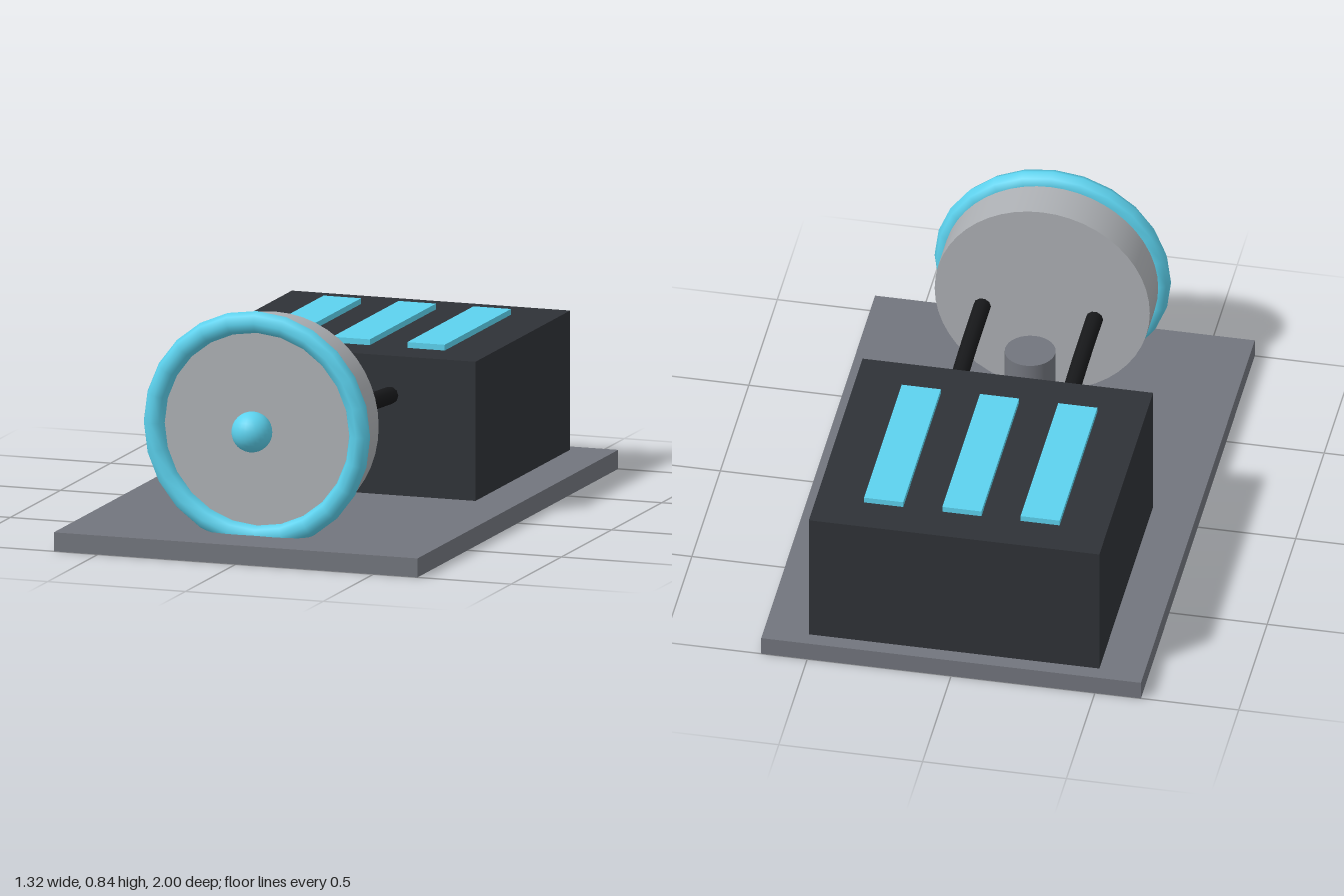
import * as THREE from 'three';

const mat = (color) => new THREE.MeshStandardMaterial({ color });
const slate = mat(0x72757d), charcoal = mat(0x2f3237), cyan = mat(0x5cd2ee);
const silver = mat(0xadb0b4), black = mat(0x17181a);
black.side = THREE.DoubleSide;

export function createModel() {
  const model = new THREE.Group();
  const add = (name, geometry, material, x, y, z) => {
    const mesh = new THREE.Mesh(geometry, material);
    mesh.name = name;
    mesh.position.set(x, y, z);
    model.add(mesh);
    return mesh;
  };
  const baseTop = 0.066, axisY = 0.43;

  // Base plate and housing
  add('basePlate', new THREE.BoxGeometry(1.32, baseTop, 2), slate, 0, baseTop / 2, 0);
  add('housing', new THREE.BoxGeometry(1.01, 0.484, 0.944), charcoal, 0, baseTop + 0.242, -0.475);

  // Raised strips on the housing
  for (const x of [-0.272, 0, 0.272]) {
    add('topStrip', new THREE.BoxGeometry(0.136, 0.04, 0.66), cyan, x, 0.55, -0.48);
  }

  // Wheel: disc, rim ring and hub knob, facing the front
  const disc = add('wheelDisc', new THREE.CylinderGeometry(0.374, 0.374, 0.148, 48), silver, 0, axisY, 0.675);
  disc.rotation.x = Math.PI / 2;
  add('wheelRim', new THREE.TorusGeometry(0.373, 0.038, 8, 24), cyan, 0, axisY, 0.787);
  add('hubKnob', new THREE.SphereGeometry(0.07, 24, 16), cyan, 0, axisY, 0.838);

  // Support post
  add('supportPost', new THREE.CylinderGeometry(0.087, 0.087, 0.304, 32), slate, 0, baseTop + 0.152, 0.39);

  // Two slightly bent rods running from the housing toward the wheel
  for (const side of [-1, 1]) {
    const path = new THREE.CatmullRomCurve3([
      new THREE.Vector3(0, 0.412, -0.01),
      new THREE.Vector3(0, 0.43, 0.3),
      new THREE.Vector3(0, 0.43, 0.534),
    ]);
    add(side > 0 ? 'leftRod' : 'rightRod', new THREE.TubeGeometry(path, 16, 0.03, 10), black, side * 0.195, 0, 0);
  }
  return model;
}
